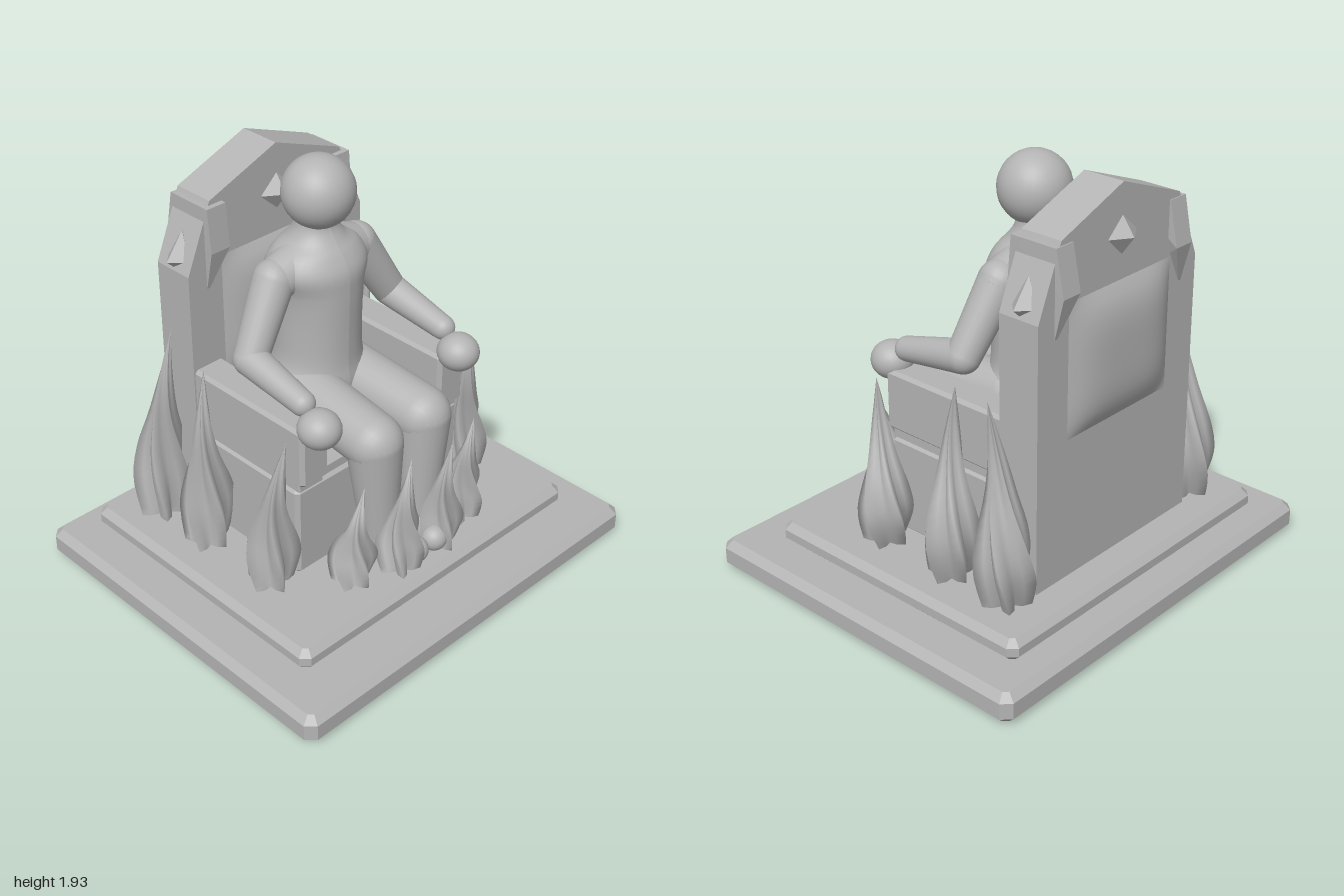
import * as THREE from 'three';

export function createModel() {
  const model = new THREE.Group();
  const stone = new THREE.MeshStandardMaterial({ color: 0xb4b4b4 });
  stone.name = 'stone grey';

  const add = (name, geo, x = 0, y = 0, z = 0) => {
    const mesh = new THREE.Mesh(geo, stone);
    mesh.name = name;
    mesh.position.set(x, y, z);
    model.add(mesh);
    return mesh;
  };

  // Box with single-segment chamfers on every edge, given by its limits
  const chamferBox = (name, [x0, x1], [y0, y1], [z0, z1], b) => {
    const w = (x1 - x0) / 2 - b, d = (z1 - z0) / 2 - b, c = b * 0.6;
    const shape = new THREE.Shape([
      [w - c, -d], [w, c - d], [w, d - c], [w - c, d],
      [c - w, d], [-w, d - c], [-w, c - d], [c - w, -d],
    ].map(p => new THREE.Vector2(...p)));
    const geo = new THREE.ExtrudeGeometry(shape, {
      depth: y1 - y0 - 2 * b, bevelEnabled: true, bevelSegments: 1, bevelSize: b, bevelThickness: b,
    });
    geo.rotateX(-Math.PI / 2);
    return add(name, geo, (x0 + x1) / 2, y0 + b, (z0 + z1) / 2);
  };

  // Flat outline extruded along +z
  const extrude = (points, depth) => new THREE.ExtrudeGeometry(
    new THREE.Shape(points.map(p => new THREE.Vector2(...p))), { depth, bevelEnabled: false });

  // Tapered limb with round ends from a to b
  const limb = (name, a, b, ra, rb) => {
    const A = new THREE.Vector3(...a), B = new THREE.Vector3(...b);
    const len = A.distanceTo(B), pts = [];
    for (let i = 0; i <= 8; i++) {
      const t = i / 8 * Math.PI / 2;
      pts.push(new THREE.Vector2(ra * Math.sin(t), -ra * Math.cos(t)));
    }
    for (let i = 0; i <= 8; i++) {
      const t = i / 8 * Math.PI / 2;
      pts.push(new THREE.Vector2(rb * Math.cos(t), len + rb * Math.sin(t)));
    }
    const mesh = add(name, new THREE.LatheGeometry(pts, 24), ...a);
    mesh.quaternion.setFromUnitVectors(new THREE.Vector3(0, 1, 0), B.sub(A).normalize());
  };

  const ball = (name, x, y, z, rx, ry = rx, rz = rx) =>
    add(name, new THREE.SphereGeometry(1, 28, 18), x, y, z).scale.set(rx, ry, rz);

  // Stepped plinth
  chamferBox('lowerPlinth', [-1, 1], [0, 0.14], [-0.865, 0.865], 0.033);
  chamferBox('upperPlinth', [-0.825, 0.825], [0.14, 0.24], [-0.74, 0.65], 0.03);

  // Throne seat and armrests
  chamferBox('seatBlock', [-0.495, 0.495], [0.24, 0.68], [-0.4, 0.26], 0.015);
  chamferBox('seatCushion', [-0.36, 0.36], [0.67, 0.74], [-0.4, 0.25], 0.015);
  for (const s of [-1, 1]) {
    const cx = s * 0.413;
    chamferBox('armrest', [cx - 0.08, cx + 0.08], [0.71, 0.99], [-0.4, 0.29], 0.015);
    chamferBox('armrestFoot', [cx - 0.07, cx + 0.07], [0.67, 0.72], [-0.38, 0.26], 0.005);
  }

  // Backrest with a pointed top
  add('backrest', extrude([[-0.5, 0.24], [0.5, 0.24], [0.5, 1.45], [0.37, 1.76],
    [0, 1.9], [-0.37, 1.76], [-0.5, 1.45]], 0.2), 0, 0, -0.575);

  // Bulging panels on both faces of the backrest
  for (const s of [-1, 1]) {
    const geo = new THREE.PlaneGeometry(0.64, 0.6, 14, 14);
    const p = geo.attributes.position;
    for (let i = 0; i < p.count; i++) {
      const u = p.getX(i) / 0.32, v = p.getY(i) / 0.3;
      p.setZ(i, 0.055 * (1 - u ** 4) * (1 - v ** 4));
    }
    geo.computeVertexNormals();
    const panel = add(s > 0 ? 'frontPanel' : 'backPanel', geo, 0, 1.19, s > 0 ? -0.374 : -0.576);
    if (s < 0) panel.rotation.y = Math.PI;
  }

  // Faceted gems: one through the crest, one on each shoulder
  add('crestGem', new THREE.OctahedronGeometry(1), 0, 1.68, -0.475).scale.set(0.24, 0.22, 0.16);
  for (const s of [-1, 1]) {
    const geo = new THREE.OctahedronGeometry(1);
    const p = geo.attributes.position;
    for (let i = 0; i < p.count; i++) {
      const y = p.getY(i);
      p.setXYZ(i, p.getX(i) * 0.065 - s * (y > 0.5 ? 0.025 : 0),
        y > 0 ? y * 0.12 : y * 0.06, p.getZ(i) * 0.065);
    }
    geo.computeVertexNormals();
    add('shoulderGem', geo, s * 0.465, 1.495, -0.475);
  }

  // Upright shards clasping the backrest
  for (const s of [-1, 1]) {
    const geo = extrude([[-0.35, 1.74], [-0.58, 1.74], [-0.62, 1.54], [-0.575, 1.36],
      [-0.375, 1.36], [-0.333, 1.54]], 0.1);
    geo.rotateY(-Math.PI / 2);
    const p = geo.attributes.position;
    for (let i = 0; i < p.count; i++) {
      // narrow the foot towards the outer edge
      if (p.getY(i) < 1.4) p.setX(i, (p.getX(i) + 0.05) * 0.15 + s * 0.04 - 0.05);
    }
    geo.computeVertexNormals();
    add('shard', geo, s * 0.355 + 0.05, 0, 0);
  }

  // Torso lofted from elliptical rings: [y, half width, half depth, z]
  const rings = [[0.74, 0.1, 0.1, -0.12], [0.8, 0.23, 0.19, -0.12], [0.9, 0.25, 0.21, -0.13],
    [1.0, 0.205, 0.2, -0.135], [1.15, 0.195, 0.2, -0.14], [1.35, 0.205, 0.205, -0.14],
    [1.45, 0.235, 0.2, -0.14], [1.52, 0.2, 0.165, -0.14], [1.57, 0.13, 0.125, -0.135],
    [1.62, 0.1, 0.095, -0.13], [1.68, 0.09, 0.09, -0.12]];
  const spine = new THREE.CatmullRomCurve3(rings.map(r => new THREE.Vector3(r[1], r[0], r[2])));
  const rows = 40, torso = new THREE.CylinderGeometry(1, 1, 1, 32, rows, true);
  const tp = torso.attributes.position;
  for (let i = 0; i < tp.count; i++) {
    const t = tp.getY(i) + 0.5, q = spine.getPoint(t);
    tp.setXYZ(i, tp.getX(i) * q.x, q.y, tp.getZ(i) * q.z - 0.138);
  }
  torso.computeVertexNormals();
  add('torso', torso);
  ball('head', 0, 1.77, -0.118, 0.159);

  // Arms and legs
  for (const s of [-1, 1]) {
    limb('shoulder', [s * 0.1, 1.46, -0.14], [s * 0.245, 1.43, -0.14], 0.11, 0.09);
    limb('upperArm', [s * 0.24, 1.435, -0.14], [s * 0.415, 1.145, -0.1], 0.092, 0.075);
    limb('forearm', [s * 0.415, 1.145, -0.1], [s * 0.42, 1.08, 0.22], 0.075, 0.055);
    ball('hand', s * 0.418, 1.0, 0.317, 0.093, 0.085, 0.096);
    limb('thigh', [s * 0.125, 0.87, -0.1], [s * 0.147, 0.825, 0.36], 0.135, 0.128);
    limb('shin', [s * 0.147, 0.82, 0.365], [s * 0.125, 0.34, 0.38], 0.125, 0.08);
    limb('foot', [s * 0.115, 0.29, 0.4], [s * 0.06, 0.295, 0.535], 0.06, 0.06);
  }

  // Twisted flame tongue with a lobed section, leaning to its tip
  const flame = (x, z, radius, tx, ty, tz, turn) => {
    const sides = 20, steps = 18, pos = [], idx = [], h = ty - 0.24;
    const profile = new THREE.SplineCurve([[0, 0.8], [0.18, 1], [0.35, 0.85], [0.55, 0.5],
      [0.78, 0.23], [1, 0]].map(p => new THREE.Vector2(...p)));
    for (let j = 0; j <= steps; j++) {
      const q = profile.getPoint(j / steps), k = q.x * q.x;
      const sway = 0.02 * Math.sin(q.x * Math.PI * 2);
      for (let i = 0; i < sides; i++) {
        const a = i / sides * Math.PI * 2;
        const r = Math.max(q.y, 0) * radius * (0.78 + 0.3 * Math.cos(a * 5));
        const b = a + turn + q.x * 1.5;
        pos.push(x + (tx - x) * k + sway + r * Math.cos(b), 0.24 + h * q.x,
          z + (tz - z) * k - sway + r * Math.sin(b));
        if (j < steps) {
          const n = j * sides + i, m = j * sides + (i + 1) % sides;
          idx.push(n, n + sides, m, m, n + sides, m + sides);
        }
      }
    }
    const geo = new THREE.BufferGeometry();
    geo.setAttribute('position', new THREE.Float32BufferAttribute(pos, 3));
    geo.setIndex(idx);
    geo.computeVertexNormals();
    add('flame', geo);
  };

  // Three flames along each side
  for (const s of [-1, 1]) {
    flame(s * 0.61, -0.51, 0.125, s * (s > 0 ? 0.65 : 0.55), s > 0 ? 1.15 : 1.19, -0.45, 0.4 * s);
    flame(s * 0.61, -0.2, 0.12, s * 0.58, 1.11, -0.21, 1.1 * s);
    flame(s * 0.6, 0.2, 0.118, s * 0.56, 0.98, 0.27, 0.8 * s);
  }
  // Small flames around the feet
  flame(-0.35, 0.44, 0.105, -0.26, 0.67, 0.42, 0.2);
  flame(-0.14, 0.52, 0.105, -0.06, 0.76, 0.5, 0.9);
  flame(0.1, 0.52, 0.105, 0.15, 0.76, 0.54, 1.6);
  flame(0.32, 0.45, 0.105, 0.38, 0.74, 0.46, 2.3);

  return model;
}
